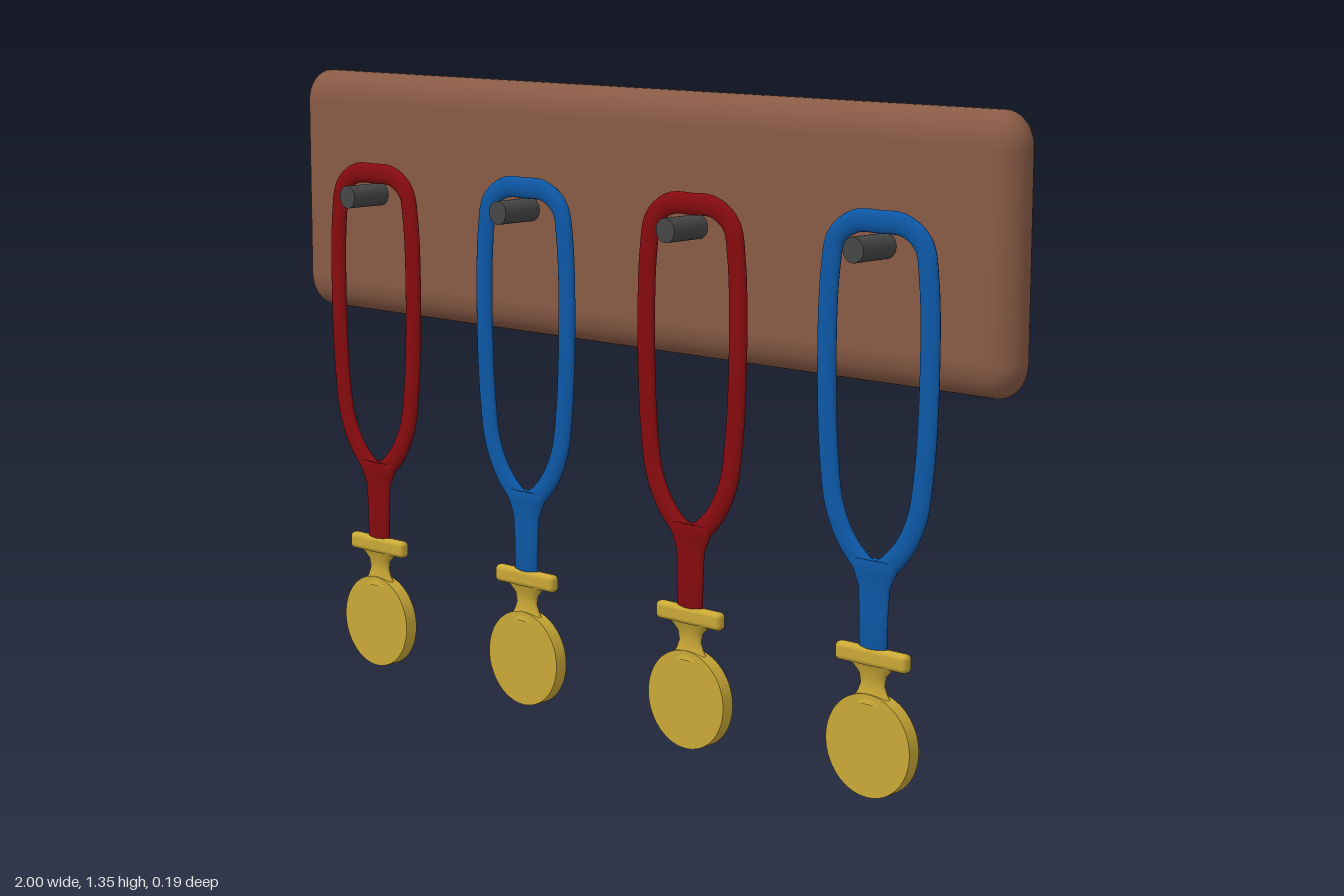
import * as THREE from 'three';
import { RoundedBoxGeometry } from 'three/addons/geometries/RoundedBoxGeometry.js';

function material(name, color) {
  const m = new THREE.MeshStandardMaterial({ color });
  m.name = name;
  return m;
}

function addMesh(parent, name, geometry, mat, x = 0, y = 0, z = 0) {
  const mesh = new THREE.Mesh(geometry, mat);
  mesh.name = name;
  mesh.position.set(x, y, z);
  parent.add(mesh);
  return mesh;
}

// Turned profile flattened front to back
function flatLathe(profile, depthScale) {
  const points = profile.map(([r, y]) => new THREE.Vector2(r, y));
  return new THREE.LatheGeometry(points, 32).scale(1, 1, depthScale);
}

// Closed ribbon loop, symmetric about x = 0, with an oval section
function ribbonLoopGeometry() {
  const side = [[0.06, 1.127], [0.105, 1.095], [0.119, 1.03], [0.125, 0.87],
    [0.116, 0.66], [0.098, 0.56], [0.055, 0.488]];
  const points = [[0, 1.13], ...side, [0, 0.452],
    ...side.slice().reverse().map(([x, y]) => [-x, y])];
  const curve = new THREE.CatmullRomCurve3(
    points.map(([x, y]) => new THREE.Vector3(x, y, 0)), true);
  return new THREE.TubeGeometry(curve, 120, 0.0225, 16, true).scale(1, 1, 0.46);
}

export function createModel() {
  const root = new THREE.Group();
  root.name = 'medalRack';

  const wood = material('brown wood', 0x885a45);
  const red = material('red ribbon', 0x860b0f);
  const blue = material('blue ribbon', 0x0d58a6);
  const gold = material('gold', 0xc9a836);
  const metal = material('dark metal', 0x464646);

  // Board with softened oval edges
  const board = new RoundedBoxGeometry(2 / 1.25, 0.54 / 1.5, 0.095, 6, 0.047).scale(1.25, 1.5, 1);
  addMesh(root, 'board', board, wood, 0, 1.08, -0.048);

  const pegGeo = new THREE.CylinderGeometry(0.025, 0.025, 0.11, 32).rotateX(Math.PI / 2);
  const loopGeo = ribbonLoopGeometry();
  const neckGeo = flatLathe([[0, 0.29], [0.034, 0.29], [0.035, 0.37], [0.038, 0.42],
    [0.05, 0.448], [0.064, 0.474], [0.04, 0.476], [0, 0.468]], 0.28);
  const discGeo = new THREE.CylinderGeometry(0.104, 0.104, 0.03, 64).rotateX(Math.PI / 2);
  const stemGeo = flatLathe([[0.05, 0.19], [0.036, 0.21], [0.029, 0.228],
    [0.033, 0.248], [0.056, 0.27]], 0.36);
  const barGeo = new RoundedBoxGeometry(0.178, 0.038, 0.026, 4, 0.011);

  // Four hanging medals, alternating ribbon colours
  for (let i = 0; i < 4; i++) {
    const medal = new THREE.Group();
    medal.name = 'medal' + (i + 1);
    medal.position.x = -0.727 + i * 0.478;
    const ribbon = i % 2 ? blue : red;
    addMesh(medal, 'peg', pegGeo, metal, 0, 1.083, 0.044);
    addMesh(medal, 'ribbonLoop', loopGeo, ribbon, 0, 0, 0.019);
    addMesh(medal, 'ribbonNeck', neckGeo, ribbon, 0, 0, 0.019);
    addMesh(medal, 'hangerBar', barGeo, gold, 0, 0.283, 0.019);
    addMesh(medal, 'hangerStem', stemGeo, gold, 0, 0, 0.018);
    addMesh(medal, 'medalDisc', discGeo, gold, 0, 0.106, 0.018);
    root.add(medal);
  }
  return root;
}
